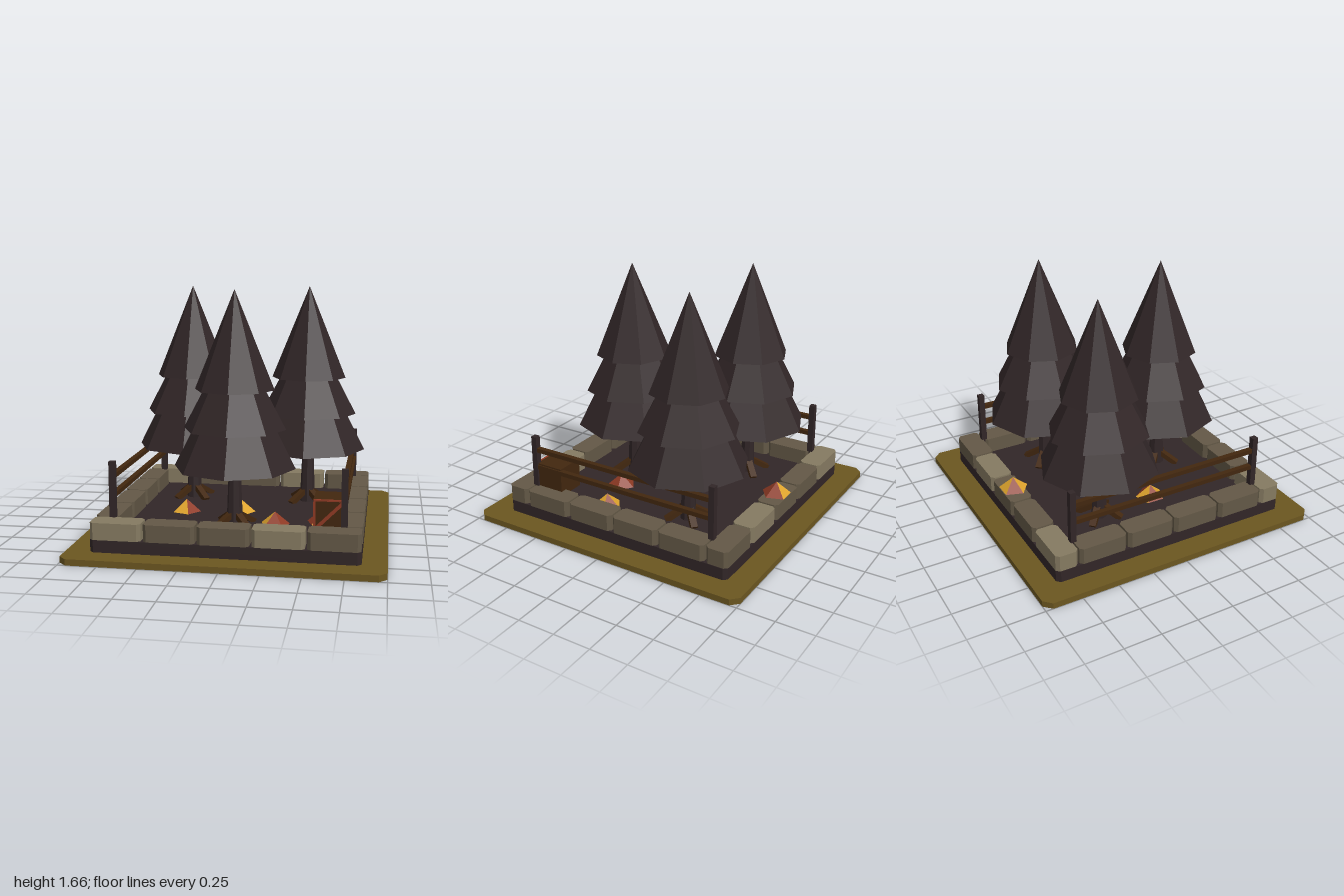
import * as THREE from 'three';

const paint = (name, color) => {
  const m = new THREE.MeshStandardMaterial({ color, flatShading: true });
  m.name = name;
  return m;
};

export function createModel() {
  const grass = paint('olive grass', 0x6b5620);
  const dark = paint('dark earth and needles', 0x312627);
  const stoneLight = paint('light stone', 0x857a61);
  const stoneMid = paint('grey stone', 0x635846);
  const wood = paint('brown wood', 0x42270f);
  const yellow = paint('golden leaf', 0xdfa42d);
  const red = paint('rust red', 0x8f3a24);

  const model = new THREE.Group();
  model.name = 'treePlot';

  function add(name, geometry, material, x, y, z, parent = model) {
    const mesh = new THREE.Mesh(geometry, material);
    mesh.name = name;
    mesh.position.set(x, y, z);
    parent.add(mesh);
    return mesh;
  }
  const box = (w, h, d) => new THREE.BoxGeometry(w, h, d);

  // Upright slab with cut corners, standing on its own y = 0
  function slab(w, h, d, cut) {
    const a = w / 2, b = d / 2;
    const shape = new THREE.Shape([
      [-a + cut, -b], [a - cut, -b], [a, -b + cut], [a, b - cut],
      [a - cut, b], [-a + cut, b], [-a, b - cut], [-a, -b + cut],
    ].map(([x, y]) => new THREE.Vector2(x, y)));
    return new THREE.ExtrudeGeometry(shape, { depth: h, bevelEnabled: false }).rotateX(-Math.PI / 2);
  }

  // Ground
  add('base', slab(2, 0.04, 2, 0.05), grass, 0, 0, 0);
  add('soil', slab(1.69, 0.08, 1.69, 0.025), dark, 0, 0.04, 0);

  // Stone border: five stones front and back, four on each side
  for (const s of [-1, 1]) {
    for (let i = 0; i < 5; i++) {
      add('borderStone', slab(0.325, 0.11, 0.152, 0.022), i % 3 === 0 ? stoneLight : stoneMid,
        (i - 2) * 0.34, 0.12, s * 0.77);
    }
    for (let i = 0; i < 4; i++) {
      add('sideStone', slab(0.15, 0.11, 0.332, 0.022), stoneMid, s * 0.772, 0.12, (i - 1.5) * 0.345);
    }
  }

  // Trees: trunk, four diagonal roots and three tiers of branches
  const tiers = [[0.40, 0.51, 1.29], [0.335, 0.765, 1.40], [0.26, 1.02, 1.66]];
  for (const [x, z] of [[-0.417, -0.325], [0.417, -0.325], [0, 0.375]]) {
    const tree = new THREE.Group();
    tree.name = 'tree';
    tree.position.set(x, 0, z);
    model.add(tree);
    add('trunk', new THREE.CylinderGeometry(0.038, 0.055, 0.42, 8), dark, 0, 0.33, 0, tree);
    for (const [r, bottom, top] of tiers) {
      add('branches', new THREE.ConeGeometry(r, top - bottom, 8), dark, 0, (top + bottom) / 2, 0, tree);
    }
    for (let i = 0; i < 4; i++) {
      const pivot = new THREE.Group();
      pivot.name = 'root';
      pivot.rotation.y = Math.PI / 4 + i * Math.PI / 2;
      tree.add(pivot);
      add('rootBeam', box(0.15, 0.035, 0.045), wood, 0.09, 0.16, 0, pivot).rotation.z = -0.55;
    }
  }

  // Fences along both sides
  for (const s of [-1, 1]) {
    for (const e of [-1, 1]) {
      add('fencePost', box(0.04, 0.38, 0.04), dark, s * 0.732, 0.4, e * 0.683);
    }
    for (const y of [0.37, 0.495]) {
      add('fenceRail', box(0.034, 0.03, 1.34), wood, s * 0.732, y, 0);
    }
  }

  // Crate with a red frame and brace on its front
  const crate = new THREE.Group();
  crate.name = 'crate';
  crate.position.set(0.64, 0.295, 0.575);
  model.add(crate);
  add('crateBody', box(0.2, 0.2, 0.2), wood, 0, 0, 0, crate);
  for (const s of [-1, 1]) {
    add('frameUpright', box(0.014, 0.2, 0.016), red, s * 0.093, 0, 0.108, crate);
    add('frameBar', box(0.172, 0.01, 0.016), red, 0, s * 0.095, 0.108, crate);
  }
  add('frameBrace', box(0.25, 0.02, 0.014), red, 0, 0, 0.107, crate).rotation.z = Math.PI / 4;

  // Leaf piles: five-sided pyramids, each face yellow (y) or red (r)
  const piles = [
    [0, 0.23, -0.76, 0, 'rryry'],
    [0.56, 0.12, 0.23, Math.PI, 'yryyr'],
    [-0.385, 0.12, 0.09, 0.3, 'rryry'],
    [-0.01, 0.12, 0.045, 0.4, 'yyyyy'],
    [0.26, 0.12, 0.32, 0.6, 'rrryr'],
  ];
  for (const [x, y, z, turn, faces] of piles) {
    const geometry = new THREE.ConeGeometry(0.1, 0.085, 5, 1, true).toNonIndexed();
    geometry.clearGroups();
    [...faces].forEach((c, i) => geometry.addGroup(i * 3, 3, c === 'y' ? 0 : 1));
    add('leafPile', geometry, [yellow, red], x, y + 0.0425, z).rotation.y = turn;
  }

  return model;
}
